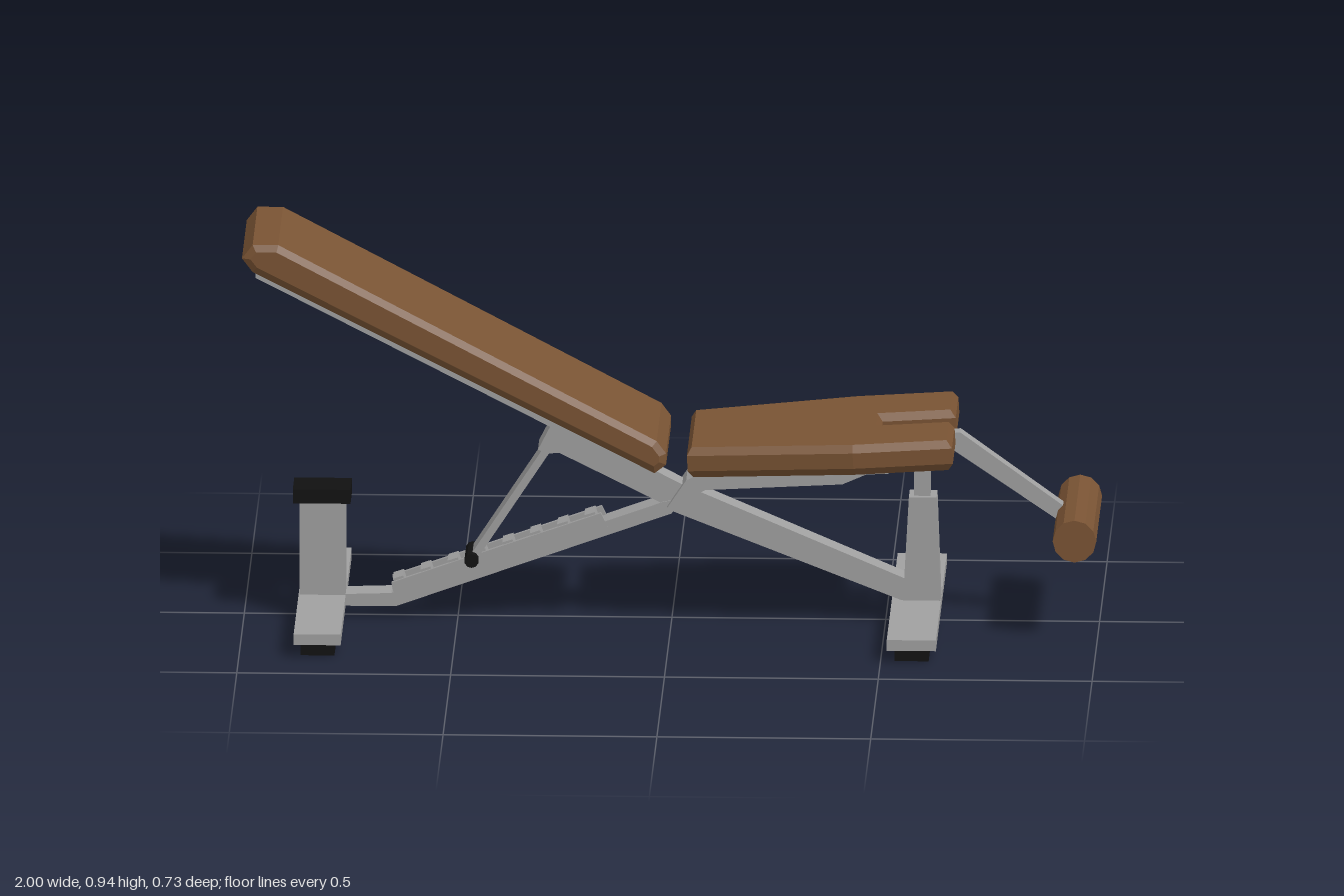
import * as THREE from 'three';

export function createModel() {
  const model = new THREE.Group();
  model.name = 'adjustableBench';

  const mat = (name, color, flat = true) => {
    const m = new THREE.MeshStandardMaterial({ color, flatShading: flat });
    m.name = name;
    return m;
  };
  const leather = mat('brownLeather', 0x7a5434);
  const steel = mat('greySteel', 0xa0a0a0);
  const rubber = mat('blackRubber', 0x111111);

  const add = (name, geometry, material) => {
    const mesh = new THREE.Mesh(geometry, material);
    mesh.name = name;
    model.add(mesh);
    return mesh;
  };

  // Box given by its limits on each axis
  const box = (name, x0, x1, y0, y1, z0, z1, material) => {
    const mesh = add(name, new THREE.BoxGeometry(x1 - x0, y1 - y0, z1 - z0), material);
    mesh.position.set((x0 + x1) / 2, (y0 + y1) / 2, (z0 + z1) / 2);
    return mesh;
  };

  // Outline extruded symmetrically, optionally with a chamfered rim
  const slab = (points, half, rim = 0, drop = 0) => {
    const shape = new THREE.Shape(points.map(p => new THREE.Vector2(...p)));
    const geometry = new THREE.ExtrudeGeometry(shape, {
      depth: 2 * (half - drop), bevelEnabled: rim > 0, bevelSegments: 1,
      bevelSize: rim, bevelOffset: -rim, bevelThickness: drop,
    });
    return geometry.translate(0, 0, drop - half);
  };

  // Straight bar between two points in the side plane
  const bar = (name, a, b, thick, width, material) => {
    const dx = b[0] - a[0], dy = b[1] - a[1];
    const mesh = add(name, new THREE.BoxGeometry(Math.hypot(dx, dy), thick, width), material);
    mesh.position.set((a[0] + b[0]) / 2, (a[1] + b[1]) / 2, 0);
    mesh.rotation.z = Math.atan2(dy, dx);
    return mesh;
  };

  // Backrest cushion and its support plate
  add('backrestPad', slab([
    [-1, 0.91], [-0.975, 0.943], [-0.915, 0.943], [-0.03, 0.475],
    [-0.008, 0.445], [-0.008, 0.418], [-0.035, 0.397], [-0.975, 0.877],
  ], 0.168, 0.016, 0.008), leather);
  add('backrestPlate', slab([
    [-0.968, 0.876], [-0.04, 0.402], [-0.045, 0.386], [-0.968, 0.862],
  ], 0.158), steel);

  // Seat cushion, widening to the front with a slot for the roller arm
  const outline = [[-0.31, -0.166], [0.08, -0.216], [0.313, -0.216], [0.313, -0.04], [0.142, -0.04]];
  const seat = add('seatPad', slab(
    [...outline, ...outline.map(([u, v]) => [u, -v]).reverse()], 0.0365, 0.012, 0.018,
  ).rotateX(-Math.PI / 2), leather);
  seat.position.set(0.351, 0.442, 0);
  seat.rotation.z = 0.063;

  // Seat frame
  add('seatTube', slab([
    [-0.01, 0.28], [0.035, 0.348], [0.1, 0.38], [0.505, 0.4], [0.505, 0.388], [0.4, 0.342], [0.08, 0.325],
  ], 0.05), steel);
  const plate = add('seatPlate', slab([
    [0.09, -0.06], [0.4, -0.115], [0.51, -0.115], [0.51, 0.115], [0.4, 0.115], [0.09, 0.06],
  ], 0.009).rotateX(-Math.PI / 2), steel);
  plate.position.y = 0.374;
  plate.rotation.z = 0.045;
  box('slotBracket', 0.49, 0.56, 0.4, 0.43, -0.034, 0.034, steel);

  // Long beam from the backrest bracket down to the front post
  add('longBeam', slab([
    [-0.29, 0.42], [-0.02, 0.285], [0.0, 0.268], [0.54, 0.055],
    [0.6, 0.055], [0.6, 0.09], [0.55, 0.107], [0.02, 0.335], [-0.22, 0.46],
  ], 0.03), steel);
  add('backrestBracket', slab([
    [-0.312, 0.417], [-0.27, 0.5], [-0.2, 0.467], [-0.25, 0.41], [-0.29, 0.408],
  ], 0.042), steel);

  // Rear beam, rising from the rear foot to the hinge
  add('rearBeam', slab([
    [-0.87, 0.03], [-0.645, 0.03], [0.0, 0.262], [0.03, 0.3], [-0.02, 0.29], [-0.655, 0.062], [-0.87, 0.055],
  ], 0.033), steel);

  // Adjustment ladder: two side rails with teeth between them
  for (const s of [-1, 1]) {
    const rail = add('ladderRail', slab([
      [-0.645, 0.04], [-0.655, 0.088], [-0.165, 0.262], [-0.15, 0.23],
    ], 0.005), steel);
    rail.position.z = s * 0.03;
  }
  for (let i = 0; i < 8; i++) {
    const x = -0.635 + i * 0.064, y = 0.078 + (x + 0.655) * 0.355;
    bar('ladderTooth', [x - 0.012, y - 0.004], [x + 0.012, y + 0.004], 0.03, 0.056, steel);
  }

  // Backrest strut with its locking pin
  bar('backrestStrut', [-0.275, 0.44], [-0.465, 0.148], 0.018, 0.07, steel);
  const pin = add('lockingPin', new THREE.CylinderGeometry(0.017, 0.017, 0.108, 10), rubber);
  pin.rotation.x = Math.PI / 2;
  pin.position.set(-0.467, 0.148, 0);

  // Cross feet with rubber pads
  for (const [name, x0, x1] of [['rear', -0.872, -0.762], ['front', 0.515, 0.63]]) {
    box(name + 'CrossFoot', x0, x1, 0.03, 0.056, -0.365, 0.365, steel);
    for (const s of [-1, 1]) {
      const mid = (x0 + x1) / 2;
      box(name + 'FootPad', mid - 0.04, mid + 0.04, 0, 0.03, s * 0.308 - 0.039, s * 0.308 + 0.039, rubber);
    }
  }

  // Rear post with a cap
  box('rearPost', -0.87, -0.762, 0.05, 0.285, -0.033, 0.033, steel);
  box('rearPostCap', -0.885, -0.75, 0.283, 0.317, -0.05, 0.05, rubber);

  // Front post, telescoping tube and roller arm
  add('frontPost', slab([[0.54, 0.032], [0.63, 0.032], [0.62, 0.307], [0.555, 0.307]], 0.032), steel);
  box('frontInnerTube', 0.567, 0.605, 0.3, 0.435, -0.018, 0.018, steel);
  add('rollerArm', slab([
    [0.567, 0.42], [0.65, 0.425], [0.92, 0.24], [0.945, 0.265], [0.675, 0.462], [0.567, 0.455],
  ], 0.018), steel);

  // Leg roller
  const roller = add('legRoller', new THREE.CylinderGeometry(0.051, 0.051, 0.386, 12), leather);
  roller.rotation.x = Math.PI / 2;
  roller.position.set(0.948, 0.25, 0);

  return model;
}
